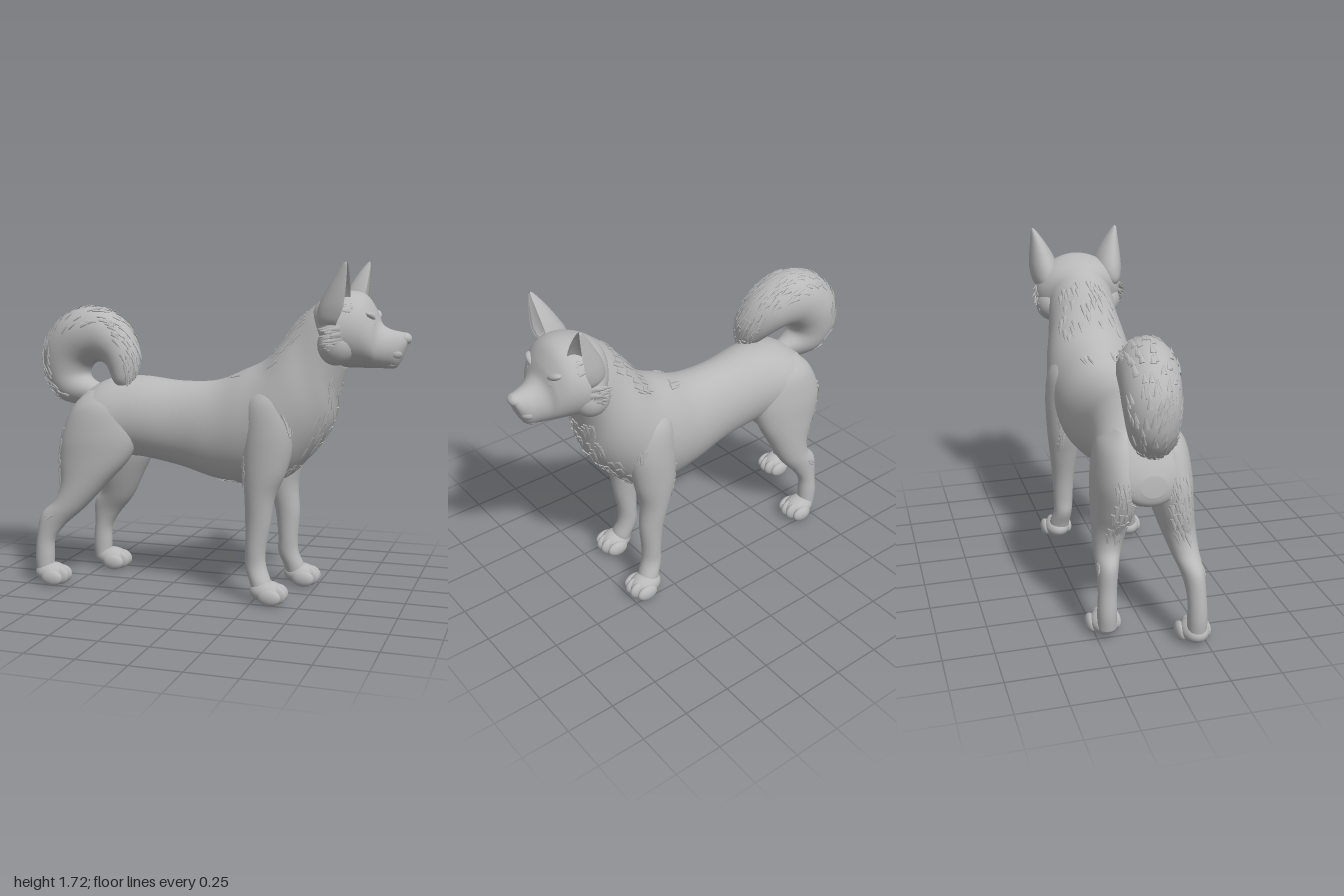
import * as THREE from 'three';
import { mergeGeometries } from 'three/addons/utils/BufferGeometryUtils.js';

const coat = new THREE.MeshStandardMaterial({ color: 0xb8b8b8 });
coat.name = 'grey coat';

// Catmull-Rom through rows of numbers, t in row units
function sample(rows, t) {
  const n = rows.length - 1, i = Math.min(Math.max(Math.floor(t), 0), n - 1), f = t - i;
  const at = k => rows[Math.min(Math.max(k, 0), n)];
  const [a, b, c, d] = [at(i - 1), at(i), at(i + 1), at(i + 2)];
  return b.map((v, k) => v + 0.5 * f * (c[k] - a[k] +
    f * (2 * a[k] - 5 * v + 4 * c[k] - d[k] + f * (3 * (v - c[k]) + d[k] - a[k]))));
}

// Row: [edge A x, y, edge B x, y, half width in z, centre z]; angle 0 is edge A, PI is edge B
function surface(rows, cup = 1) {
  const p = (t, a) => {
    const [ax, ay, bx, by, w, z] = sample(rows, t);
    let c = Math.cos(a);
    if (c < 0) c *= cup;
    return new THREE.Vector3((ax + bx + c * (ax - bx)) / 2, (ay + by + c * (ay - by)) / 2, z + Math.sin(a) * w);
  };
  p.count = rows.length - 1;
  return p;
}

// Closed smooth skin over a surface
function skin(p, sides = 36, per = 6) {
  const rings = p.count * per, pos = [], idx = [];
  for (let i = 0; i <= rings; i++)
    for (let j = 0; j < sides; j++) pos.push(...p(i / per, j / sides * Math.PI * 2).toArray());
  for (const t of [0, p.count])
    pos.push(...p(t, 0).add(p(t, Math.PI)).multiplyScalar(0.5).toArray());
  const end = (rings + 1) * sides;
  for (let j = 0; j < sides; j++) {
    const k = (j + 1) % sides;
    for (let i = 0; i < rings; i++) {
      const a = i * sides + j, b = i * sides + k;
      idx.push(a, b, a + sides, b, b + sides, a + sides);
    }
    idx.push(end, k, j, end + 1, rings * sides + j, rings * sides + k);
  }
  // Turn the faces outward if the enclosed volume is negative
  let vol = 0;
  const v = i => new THREE.Vector3(pos[i * 3], pos[i * 3 + 1], pos[i * 3 + 2]);
  for (let i = 0; i < idx.length; i += 3) vol += v(idx[i]).dot(v(idx[i + 1]).cross(v(idx[i + 2])));
  if (vol < 0) idx.reverse();
  const g = new THREE.BufferGeometry();
  g.setAttribute('position', new THREE.Float32BufferAttribute(pos, 3));
  g.setIndex(idx);
  g.computeVertexNormals();
  return g;
}

let seed = 7;
const rnd = () => (seed = (seed * 16807) % 2147483647) / 2147483647;

// Flattened fur tufts lying on a surface, pointing along t (sign 1) or against it (-1)
function tufts(p, t0, t1, a0, a1, count, sign = 1, size = 1, lift = 0.16) {
  const list = [];
  for (let i = 0; i < count; i++) {
    const t = t0 + (t1 - t0) * rnd(), a = a0 + (a1 - a0) * rnd(), at = p(t, a);
    const out = at.clone().sub(p(t, 0).add(p(t, Math.PI)).multiplyScalar(0.5)).normalize();
    const y = p(t + 0.05, a).sub(p(t - 0.05, a)).normalize().multiplyScalar(sign).addScaledVector(out, lift).normalize();
    const x = y.clone().cross(out).normalize(), z = x.clone().cross(y);
    const len = size * (0.05 + 0.025 * rnd());
    const g = new THREE.ConeGeometry(0.016 * size, len, 8).scale(1, 1, 0.45);
    const m = new THREE.Matrix4().makeBasis(x, y, z).setPosition(at.addScaledVector(y, len * 0.25));
    list.push(g.applyMatrix4(m));
  }
  return mergeGeometries(list);
}

export function createModel() {
  const dog = new THREE.Group();
  dog.name = 'dog';
  const add = (name, geo) => {
    const m = new THREE.Mesh(geo, coat);
    m.name = name;
    dog.add(m);
    return m;
  };
  const ball = (name, x, y, z, rx, ry, rz) => {
    const m = add(name, new THREE.SphereGeometry(1, 24, 16));
    m.scale.set(rx, ry, rz);
    m.position.set(x, y, z);
    return m;
  };
  const PI = Math.PI;

  // Torso and neck
  const body = surface([
    [-0.83, 0.86, -0.84, 0.76, 0.06, 0], [-0.79, 0.94, -0.82, 0.71, 0.14, 0],
    [-0.72, 1.03, -0.74, 0.68, 0.195, 0], [-0.6, 1.1, -0.6, 0.67, 0.217, 0],
    [-0.42, 1.12, -0.44, 0.69, 0.197, 0], [-0.2, 1.1, -0.2, 0.65, 0.175, 0],
    [0, 1.11, 0, 0.595, 0.195, 0], [0.15, 1.17, 0.2, 0.575, 0.225, 0],
    [0.27, 1.23, 0.38, 0.62, 0.242, 0], [0.36, 1.33, 0.52, 0.76, 0.228, 0],
    [0.43, 1.42, 0.61, 0.9, 0.2, 0], [0.5, 1.49, 0.64, 1.05, 0.185, 0], [0.57, 1.54, 0.68, 1.2, 0.175, 0]]);
  add('body', skin(body, 48));
  add('chestFur', tufts(body, 8.2, 11.3, PI - 0.8, PI + 0.8, 70, -1));
  add('neckFur', tufts(body, 8.2, 10.6, -0.8, 0.8, 45, -1));
  add('withersFur', tufts(body, 6.6, 6.9, -0.5, 0.5, 9, -1));
  add('bellyFur', tufts(body, 6.2, 8, PI - 0.35, PI + 0.35, 22, -1, 0.8));

  // Head, with the muzzle running down to the nose
  const head = surface([
    [0.49, 1.47, 0.58, 1.3, 0.1, 0], [0.55, 1.53, 0.61, 1.23, 0.19, 0],
    [0.62, 1.56, 0.66, 1.2, 0.235, 0], [0.7, 1.575, 0.72, 1.195, 0.225, 0],
    [0.77, 1.555, 0.78, 1.195, 0.195, 0], [0.82, 1.485, 0.82, 1.195, 0.158, 0],
    [0.848, 1.42, 0.85, 1.195, 0.122, 0], [0.89, 1.39, 0.885, 1.195, 0.094, 0],
    [0.945, 1.377, 0.925, 1.198, 0.07, 0], [0.982, 1.37, 0.952, 1.235, 0.048, 0],
    [0.992, 1.355, 0.968, 1.275, 0.03, 0]]);
  add('head', skin(head, 48));
  ball('nose', 0.966, 1.342, 0, 0.034, 0.03, 0.042);
  ball('chin', 0.9, 1.217, 0, 0.04, 0.021, 0.055);

  // Cupped ears open to the front; the right one sits slightly further forward
  const earRows = [
    [0.59, 1.4, 0.73, 1.4, 0.035, 0.185], [0.565, 1.44, 0.79, 1.43, 0.062, 0.182],
    [0.57, 1.5, 0.84, 1.49, 0.078, 0.178], [0.605, 1.57, 0.825, 1.56, 0.066, 0.188],
    [0.655, 1.65, 0.785, 1.64, 0.038, 0.208], [0.695, 1.703, 0.745, 1.7, 0.014, 0.226],
    [0.712, 1.717, 0.72, 1.717, 0.003, 0.23]];
  for (const s of [1, -1]) {
    const shift = s > 0 ? 0 : 0.03;
    const ear = earRows.map(([ax, ay, bx, by, w, z]) => [ax + shift, ay, bx + shift, by, w, s * z]);
    add('ear', skin(surface(ear, -0.55), 32));
    add('earFur', tufts(head, 3, 3.3, s * 0.75, s * 1.05, 6, -1));
    ball('eye', 0.818, 1.415, s * 0.09, 0.018, 0.014, 0.026);
    ball('brow', 0.803, 1.447, s * 0.088, 0.03, 0.02, 0.058).rotation.x = -s * 0.4;
    ball('upperLip', 0.918, 1.272, s * 0.03, 0.045, 0.035, 0.046);
    ball('cheek', 0.655, 1.315, s * 0.15, 0.095, 0.1, 0.088);
    add('cheekFur', tufts(head, 1.8, 2.6, s * 1.45, s * 2.15, 24, -1, 1.2, 0.4));
  }

  // Legs; the right pair steps forward of the left pair
  const stride = (rows, s, step, top) => rows.map(([ax, ay, bx, by, w, z]) => {
    const d = y => s > 0 ? 0 : step * THREE.MathUtils.smoothstep(top - y, 0, top - 0.25);
    return [ax + d(ay), ay, bx + d(by), by, w, s * z];
  });
  const frontRows = [
    [0.25, 1.12, 0.37, 1.13, 0.03, 0.13], [0.2, 1.02, 0.43, 1.04, 0.085, 0.153],
    [0.19, 0.86, 0.46, 0.89, 0.1, 0.161], [0.19, 0.69, 0.42, 0.69, 0.09, 0.168],
    [0.2, 0.55, 0.36, 0.55, 0.076, 0.17], [0.205, 0.4, 0.335, 0.4, 0.06, 0.17],
    [0.205, 0.26, 0.31, 0.26, 0.053, 0.17], [0.205, 0.18, 0.315, 0.18, 0.05, 0.172],
    [0.235, 0.1, 0.345, 0.1, 0.055, 0.185], [0.25, 0.04, 0.35, 0.04, 0.05, 0.19]];
  const hindRows = [
    [-0.69, 1.04, -0.56, 1.05, 0.03, 0.1], [-0.77, 0.95, -0.45, 0.98, 0.09, 0.117],
    [-0.83, 0.8, -0.4, 0.84, 0.11, 0.126], [-0.84, 0.66, -0.44, 0.7, 0.105, 0.136],
    [-0.83, 0.54, -0.56, 0.56, 0.087, 0.155], [-0.86, 0.45, -0.69, 0.42, 0.067, 0.175],
    [-0.93, 0.38, -0.8, 0.32, 0.052, 0.19], [-0.955, 0.26, -0.855, 0.24, 0.046, 0.197],
    [-0.965, 0.14, -0.86, 0.15, 0.048, 0.2], [-0.955, 0.05, -0.86, 0.05, 0.046, 0.2]];

  // Paw with four toes
  const paw = (x, z) => {
    ball('paw', x, 0.06, z, 0.09, 0.056, 0.07);
    for (const k of [-1.5, -0.5, 0.5, 1.5]) {
      const outer = Math.abs(k) > 1;
      ball('toe', x + (outer ? 0.028 : 0.048), outer ? 0.045 : 0.051, z + k * 0.041,
        0.06, outer ? 0.043 : 0.05, 0.027);
    }
  };
  for (const s of [1, -1]) {
    const front = surface(stride(frontRows, s, 0.085, 0.8));
    const hind = surface(stride(hindRows, s, 0.165, 0.85));
    add('frontLeg', skin(front, 32));
    add('hindLeg', skin(hind, 32));
    add('shoulderFur', tufts(front, 1.3, 3.6, s * 0.1, s * 0.6, 16));
    add('shoulderFrontFur', tufts(front, 0.7, 2, s * 2.3, s * 2.9, 12));
    add('thighFur', tufts(hind, 1.8, 4.2, -0.45, 0.45, 45));
    add('hockFur', tufts(hind, 5.6, 6, s * 0.9, s * 1.4, 4, 1, 0.7));
    paw(s > 0 ? 0.325 : 0.405, s * 0.195);
    paw(s > 0 ? -0.875 : -0.69, s * 0.2);
  }

  // Curled tail
  const tail = surface([
    [-0.78, 0.95, -0.64, 1.06, 0.06, 0], [-0.9, 0.985, -0.71, 1.09, 0.1, -0.01],
    [-0.985, 1.12, -0.735, 1.12, 0.12, -0.02], [-0.975, 1.3, -0.72, 1.16, 0.135, -0.02],
    [-0.85, 1.44, -0.68, 1.185, 0.14, -0.01], [-0.67, 1.48, -0.64, 1.185, 0.135, 0],
    [-0.51, 1.4, -0.6, 1.165, 0.12, 0.02], [-0.425, 1.26, -0.575, 1.13, 0.095, 0.05],
    [-0.43, 1.13, -0.545, 1.09, 0.06, 0.08], [-0.47, 1.06, -0.51, 1.06, 0.012, 0.1]]);
  add('tail', skin(tail));
  add('tailFur', tufts(tail, 0.8, 8.4, -1.2, 1.2, 220));
  return dog;
}
